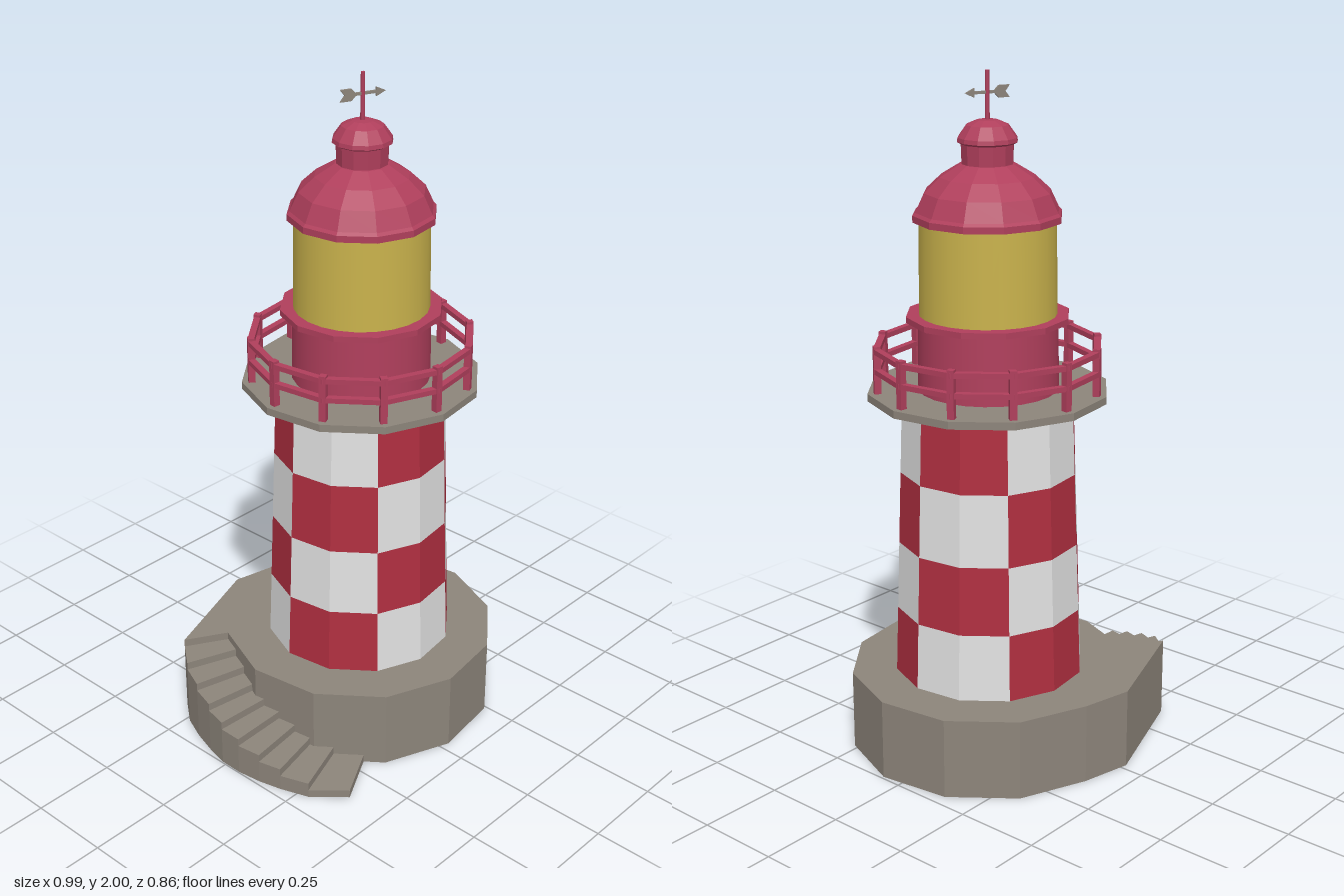
import * as THREE from 'three';

const SIDES = 12;
const mat = (name, color) => {
  const m = new THREE.MeshStandardMaterial({ color });
  m.name = name;
  return m;
};

// split vertices so every face is shaded flat
function flat(geo) {
  const g = geo.index ? geo.toNonIndexed() : geo;
  g.computeVertexNormals();
  return g;
}

// turned solid from [radius, y] pairs, listed from bottom to top
const turned = (pts) =>
  flat(new THREE.LatheGeometry(pts.map(([r, y]) => new THREE.Vector2(r, y)), SIDES));

// faceted ring with a rectangular section
const ring = (rIn, rOut, y0, y1) =>
  turned([[rIn, y0], [rOut, y0], [rOut, y1], [rIn, y1], [rIn, y0]]);

// upright prism over a ground outline of [x, z] pairs
function prism(pts, height) {
  const shape = new THREE.Shape(pts.map(([x, z]) => new THREE.Vector2(x, -z)));
  const g = new THREE.ExtrudeGeometry(shape, { depth: height, bevelEnabled: false });
  return g.rotateX(-Math.PI / 2);
}

export function createModel() {
  const stone = mat('stone', 0x8d857b);
  const red = mat('brick red', 0xb02f40);
  const white = mat('white', 0xe2e2e2);
  const pink = mat('crimson', 0xb03f5c);
  const yellow = mat('lamp yellow', 0xc9b24c);

  const model = new THREE.Group();
  model.name = 'lighthouse';
  const add = (parent, name, geo, material) => {
    const m = new THREE.Mesh(geo, material);
    m.name = name;
    parent.add(m);
    return m;
  };

  const cx = 0.08, cz = 0.015, turn = THREE.MathUtils.degToRad(7);

  // plinth: a twelve-sided base whose back left corner grows into a landing
  const baseH = 0.24;
  const outline = [];
  for (let k = 0; k < SIDES; k++) {
    if (k === 8) {
      outline.push([-0.37, -0.305], [-0.02, -0.43]);
      continue;
    }
    const a = turn + (k * Math.PI * 2) / SIDES;
    outline.push([cx + 0.415 * Math.cos(a), cz + 0.415 * Math.sin(a)]);
  }
  add(model, 'plinth', prism(outline, baseH), stone);

  // curved stairs descending from the landing
  const stairs = new THREE.Group();
  stairs.name = 'stairs';
  model.add(stairs);
  const outer = [
    [-0.37, -0.305], [-0.425, -0.235], [-0.457, -0.16], [-0.48, -0.085], [-0.496, -0.015],
    [-0.497, 0.055], [-0.487, 0.13], [-0.47, 0.2], [-0.44, 0.285], [-0.36, 0.375],
  ];
  const inward = ([x, z]) => [x + (0.28 - x) * 0.3, z + (0.033 - z) * 0.3];
  for (let i = 0; i < 9; i++) {
    const a = outer[i], b = outer[i + 1];
    add(stairs, 'step', prism([a, b, inward(b), inward(a)], (baseH * (9 - i)) / 10), stone);
  }

  // everything above the plinth shares one axis
  const tower = new THREE.Group();
  tower.name = 'tower';
  tower.position.set(cx, 0, cz);
  tower.rotation.y = -turn;
  model.add(tower);

  // chequered shaft: four rows of six panels, each two facets wide
  const rows = [0.23, 0.44, 0.645, 0.86, 1.08];
  const radiusAt = (y) => 0.282 - (0.03 * (y - 0.24)) / 0.84;
  for (let r = 0; r < 4; r++) {
    const y0 = rows[r], y1 = rows[r + 1];
    for (let k = 0; k < 6; k++) {
      const g = new THREE.CylinderGeometry(radiusAt(y1), radiusAt(y0), y1 - y0, 2, 1, true,
        -Math.PI / 6 + (k * Math.PI) / 3, Math.PI / 3);
      g.translate(0, (y0 + y1) / 2, 0);
      add(tower, 'wallPanel', flat(g), (r + k) % 2 ? red : white);
    }
  }

  // balcony floor
  add(tower, 'balconyDeck', turned([[0, 1.08], [0.35, 1.08], [0.35, 1.102], [0, 1.102]]), stone);

  // balcony railing
  const railing = new THREE.Group();
  railing.name = 'railing';
  tower.add(railing);
  for (const y of [1.16, 1.218]) add(railing, 'rail', ring(0.312, 0.332, y, y + 0.015), pink);
  for (let k = 0; k < SIDES; k++) {
    const a = (k * Math.PI * 2) / SIDES;
    const post = add(railing, 'post', new THREE.BoxGeometry(0.02, 0.142, 0.02), pink);
    post.position.set(0.321 * Math.cos(a), 1.169, 0.321 * Math.sin(a));
    post.rotation.y = -a;
  }

  // watch room, ledge and lantern
  const drum = (rTop, rBottom, y0, y1) =>
    new THREE.CylinderGeometry(rTop, rBottom, y1 - y0, 24).translate(0, (y0 + y1) / 2, 0);
  add(tower, 'watchRoom', drum(0.199, 0.203, 1.1, 1.31), pink);
  add(tower, 'ledge', turned([[0, 1.303], [0.236, 1.303], [0.236, 1.32], [0, 1.32]]), pink);
  add(tower, 'lantern', drum(0.193, 0.197, 1.318, 1.6), yellow);

  // domed roof with its vent cap
  add(tower, 'dome', turned([
    [0, 1.588], [0.213, 1.588], [0.213, 1.607], [0.205, 1.615], [0.18, 1.668],
    [0.135, 1.71], [0.078, 1.745], [0, 1.75],
  ]), pink);
  add(tower, 'ventCap', turned([
    [0.073, 1.74], [0.075, 1.8], [0.086, 1.806], [0.084, 1.818],
    [0.06, 1.852], [0.03, 1.865], [0, 1.867],
  ]), pink);
  add(tower, 'spire', new THREE.CylinderGeometry(0.006, 0.007, 0.15, 8).translate(0, 1.925, 0), pink);

  // weather vane: a flat arrow with a notched tail
  const arrow = new THREE.Shape([
    [-0.068, 0.017], [-0.055, 0], [-0.068, -0.017], [-0.035, -0.017], [-0.022, -0.004],
    [0.04, -0.004], [0.04, -0.013], [0.068, 0], [0.04, 0.013], [0.04, 0.004],
    [-0.022, 0.004], [-0.035, 0.017],
  ].map(([x, y]) => new THREE.Vector2(x, y)));
  const vaneGeo = new THREE.ExtrudeGeometry(arrow, { depth: 0.006, bevelEnabled: false });
  const vane = add(tower, 'weatherVane', vaneGeo.translate(0, 0, -0.003), stone);
  vane.position.y = 1.94;
  vane.rotation.y = THREE.MathUtils.degToRad(-15);

  return model;
}
